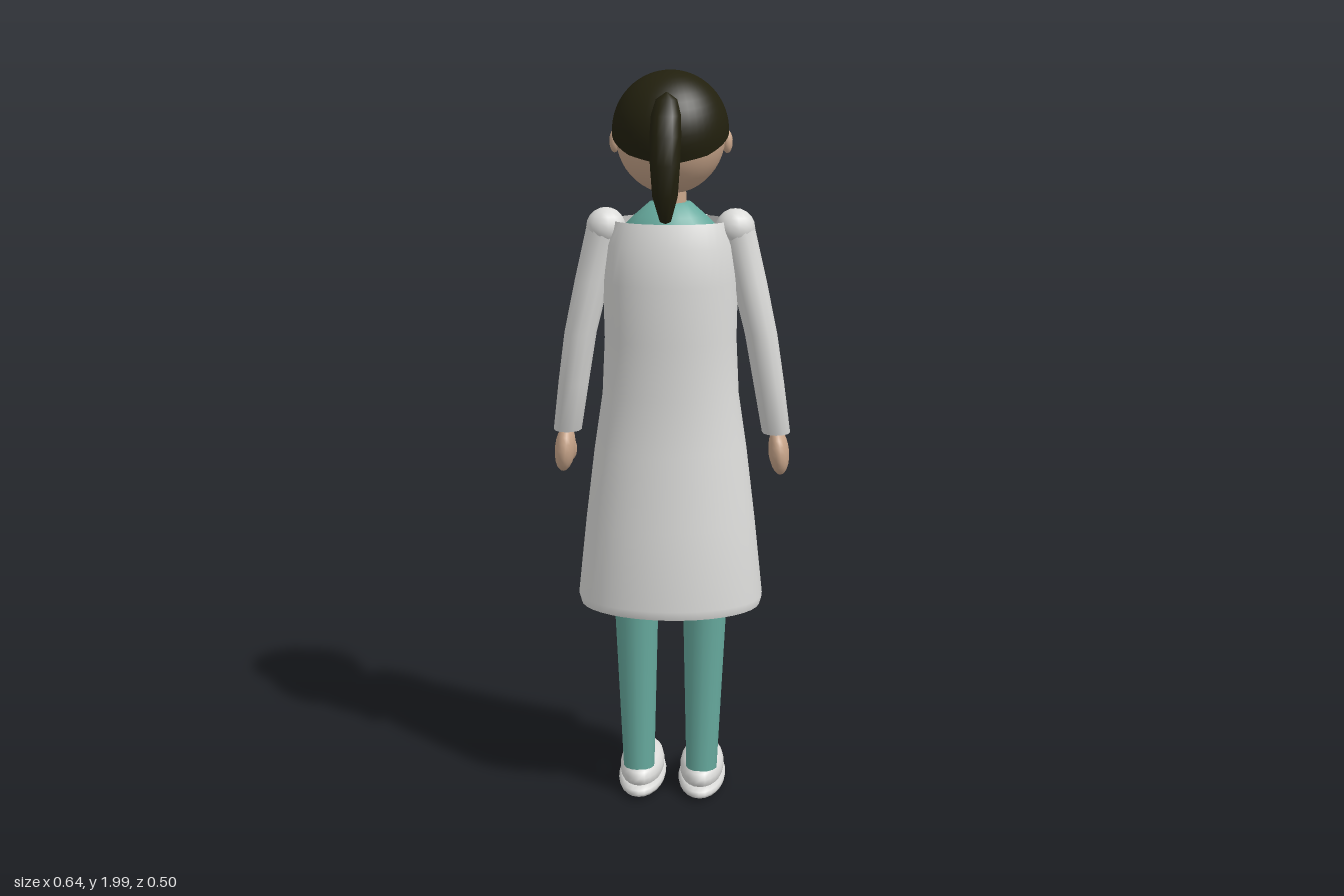
import * as THREE from 'three';

const mat = (name, color, side = THREE.FrontSide) => {
  const m = new THREE.MeshStandardMaterial({ color, side });
  m.name = name;
  return m;
};

export function createModel() {
  const group = new THREE.Group();
  const white = mat('coat white', 0xdcdcda, THREE.DoubleSide);
  const teal = mat('scrubs teal', 0x66a99d);
  const skin = mat('skin', 0xc9a68b);
  const hair = mat('hair', 0x22200e);
  const dark = mat('glasses dark', 0x24252c);
  const lip = mat('mouth', 0x7d4f45);

  const add = (name, geo, material, x = 0, y = 0, z = 0) => {
    const mesh = new THREE.Mesh(geo, material);
    mesh.name = name;
    mesh.position.set(x, y, z);
    group.add(mesh);
    return mesh;
  };
  const ball = (name, material, [x, y, z], [rx, ry, rz], seg = 16) =>
    add(name, new THREE.SphereGeometry(1, seg, Math.ceil(seg * 0.7)).scale(rx, ry, rz), material, x, y, z);

  // skin over a list of equally long cross-sections, listed bottom to top
  const loft = (rings, closed = true) => {
    const n = rings[0].length, pos = [], idx = [];
    rings.forEach(r => r.forEach(p => pos.push(...p)));
    for (let i = 0; i < rings.length - 1; i++) {
      for (let j = 0; j < (closed ? n : n - 1); j++) {
        const k = (j + 1) % n, a = i * n + j, b = i * n + k;
        idx.push(a, b, b + n, a, b + n, a + n);
      }
    }
    const g = new THREE.BufferGeometry();
    g.setAttribute('position', new THREE.Float32BufferAttribute(pos, 3));
    g.setIndex(idx);
    g.computeVertexNormals();
    return g;
  };
  // level ellipse: height, half width, half depth, centre
  const ring = (y, rx, rz, cx = 0, cz = 0, n = 20) =>
    Array.from({ length: n }, (_, j) => {
      const a = j / n * Math.PI * 2;
      return [cx + rx * Math.sin(a), y, cz + rz * Math.cos(a)];
    });
  // straight bar between two points
  const bar = (name, material, from, to, w, t) => {
    const a = new THREE.Vector3(...from), b = new THREE.Vector3(...to);
    const m = add(name, new THREE.BoxGeometry(w, t, a.distanceTo(b)), material);
    m.position.copy(a).lerp(b, 0.5);
    m.lookAt(b);
    return m;
  };
  const tube = (name, material, pts, r) => add(name, new THREE.TubeGeometry(
    new THREE.CatmullRomCurve3(pts.map(p => new THREE.Vector3(...p))), 14, r, 6), material);

  // scrub shirt and neck
  add('scrubShirt', loft([
    ring(0.925, 0.005, 0.005), ring(0.93, 0.11, 0.08), ring(0.97, 0.15, 0.113), ring(1.05, 0.155, 0.12),
    ring(1.2, 0.14, 0.11), ring(1.42, 0.155, 0.127), ring(1.52, 0.15, 0.115), ring(1.59, 0.13, 0.092),
    ring(1.625, 0.095, 0.07), ring(1.66, 0.055, 0.042), ring(1.662, 0.005, 0.005),
  ]), teal);
  add('neck', new THREE.CylinderGeometry(0.04, 0.042, 0.12, 16), skin, 0, 1.69, 0);

  // open coat: height, half width, back depth, front depth, half opening
  const coatRows = [
    [0.565, 0.243, 0.172, 0.195, 0.115], [0.59, 0.25, 0.179, 0.203, 0.118], [0.8, 0.228, 0.163, 0.185, 0.112],
    [1.0, 0.204, 0.136, 0.165, 0.105], [1.15, 0.182, 0.127, 0.156, 0.1], [1.3, 0.175, 0.127, 0.155, 0.095],
    [1.45, 0.178, 0.13, 0.156, 0.09], [1.55, 0.172, 0.118, 0.14, 0.09], [1.612, 0.155, 0.095, 0.118, 0.085],
  ];
  add('coat', loft(coatRows.map(([y, rx, back, front, open]) => {
    const end = Math.PI - Math.asin(open / rx);
    return Array.from({ length: 33 }, (_, j) => {
      const a = -end + 2 * end * j / 32, c = Math.cos(a);
      return [rx * Math.sin(a), y, c * (c > 0 ? back : front)];
    });
  }), false), white);

  // head, nose and mouth
  ball('head', skin, [0, 1.835, 0], [0.143, 0.153, 0.146], 32);
  ball('nose', skin, [0, 1.81, -0.15], [0.016, 0.016, 0.018], 12);
  const mouth = add('mouth', new THREE.TorusGeometry(0.022, 0.003, 6, 12, Math.PI), lip, 0, 1.775, -0.134);
  mouth.rotation.z = Math.PI;

  // hair cap whose lower edge rises to a centre parting over the face
  const edge = [[0, 44], [35, 63], [60, 80], [90, 92], [135, 110], [180, 119]];
  const limit = deg => {
    const i = Math.max(1, edge.findIndex(e => e[0] >= deg));
    const [a0, v0] = edge[i - 1], [a1, v1] = edge[i];
    return v0 + (v1 - v0) * (deg - a0) / (a1 - a0);
  };
  const hairRings = [];
  for (let i = 0; i <= 14; i++) {
    hairRings.push(Array.from({ length: 48 }, (_, j) => {
      const a = j / 48 * Math.PI * 2;
      const deg = Math.min(180, Math.abs(180 - j / 48 * 360));
      const t = Math.max(0.001, (1 - i / 14) * limit(deg) * Math.PI / 180);
      return [0.152 * Math.sin(t) * Math.sin(a), 1.845 + 0.155 * Math.cos(t), 0.153 * Math.sin(t) * Math.cos(a)];
    }));
  }
  const hairShell = hair.clone();
  hairShell.side = THREE.DoubleSide;
  add('hairCap', loft(hairRings), hairShell);

  // ponytail: height, radius, depth of centre
  add('ponytail', loft([
    [1.63, 0.002, 0.195], [1.635, 0.014, 0.197], [1.7, 0.032, 0.212], [1.78, 0.038, 0.212],
    [1.85, 0.04, 0.196], [1.9, 0.038, 0.174], [1.938, 0.027, 0.153], [1.955, 0.002, 0.145],
  ].map(([y, r, z]) => ring(y, r, r, 0, z, 12))), hair);
  ball('hairTie', hair, [0, 1.92, 0.132], [0.026, 0.024, 0.022], 12);

  // glasses bridge
  bar('glassesBridge', dark, [-0.024, 1.836, -0.168], [0.024, 1.836, -0.168], 0.005, 0.005);

  for (const s of [-1, 1]) {
    // face details
    ball('ear', skin, [s * 0.147, 1.815, -0.015], [0.014, 0.03, 0.02], 12);
    ball('eye', dark, [s * 0.05, 1.833, -0.137], [0.014, 0.012, 0.006], 12);
    const brow = ball('eyebrow', hair, [s * 0.048, 1.882, -0.134], [0.026, 0.008, 0.009], 12);
    brow.rotation.set(0, s * -0.3, s * -0.15);
    const rim = add('glassesRim', new THREE.TorusGeometry(0.026, 0.0035, 8, 24), dark, s * 0.052, 1.836, -0.158);
    rim.rotation.x = Math.PI / 2;
    tube('glassesTemple', dark, [[s * 0.078, 1.836, -0.152], [s * 0.118, 1.836, -0.105], [s * 0.15, 1.836, -0.02]], 0.0035);

    // sleeve in two sections with a rounded shoulder and elbow
    ball('shoulder', white, [s * 0.17, 1.592, 0], [0.052, 0.052, 0.052], 14);
    add('sleeve', loft([
      ring(1.032, 0.01, 0.01, s * 0.282, -0.043, 12), ring(1.034, 0.038, 0.043, s * 0.282, -0.043, 12),
      ring(1.17, 0.041, 0.047, s * 0.262, -0.022, 12), ring(1.31, 0.043, 0.05, s * 0.24, -0.004, 12),
      ring(1.45, 0.046, 0.05, s * 0.208, -0.003, 12), ring(1.59, 0.049, 0.048, s * 0.173, 0, 12),
    ]), white);
    const hand = ball('hand', skin, [s * 0.29, 0.98, -0.045], [0.028, 0.064, 0.053], 14);
    hand.rotation.z = s * 0.1;
    const thumb = ball('thumb', skin, [s * 0.277, 0.972, -0.078], [0.016, 0.036, 0.018], 10);
    thumb.rotation.x = 0.25;

    // trouser leg
    add('trouserLeg', loft([
      ring(0.085, 0.043, 0.043, s * 0.087, 0.008, 14), ring(0.57, 0.061, 0.061, s * 0.094, -0.01, 14),
      ring(0.8, 0.068, 0.075, s * 0.086, -0.008, 14), ring(1.0, 0.07, 0.085, s * 0.08, 0, 14),
    ]), teal);

    // shoe: rounded sole and upper
    const cx = s * 0.084, n = 24;
    add('shoeSole', loft([[0.008, 0.02], [0.01, 0.85], [0.019, 0.97], [0.027, 1], [0.036, 0.97], [0.045, 0.85], [0.046, 0.02]]
      .map(([y, f]) => ring(y, 0.066 * f, 0.168 * f, cx, -0.08, n))), white);
    add('shoeUpper', loft([[0.035, 0.9], [0.05, 0.99], [0.065, 1], [0.08, 0.94], [0.093, 0.78], [0.101, 0.5], [0.104, 0.02]]
      .map(([y, f]) => ring(y, 0.061 * f, 0.145 * f, cx, -0.075, n))), white);

    // collar strips forming a V on the chest
    const strip = bar('collarStrip', white, [s * 0.085, 1.612, -0.095], [s * 0.008, 1.42, -0.14], 0.025, 0.009);
    strip.rotateZ(s * 0.1);
  }

  // chest instrument and badge
  tube('instrumentTube', dark, [[0.066, 1.5, -0.128], [0.063, 1.46, -0.14], [0.058, 1.405, -0.154]], 0.007);
  ball('instrumentEnd', white, [0.056, 1.39, -0.156], [0.009, 0.012, 0.008], 10);
  add('badge', new THREE.BoxGeometry(0.042, 0.05, 0.009), white, -0.1, 1.455, -0.138);

  return group;
}
